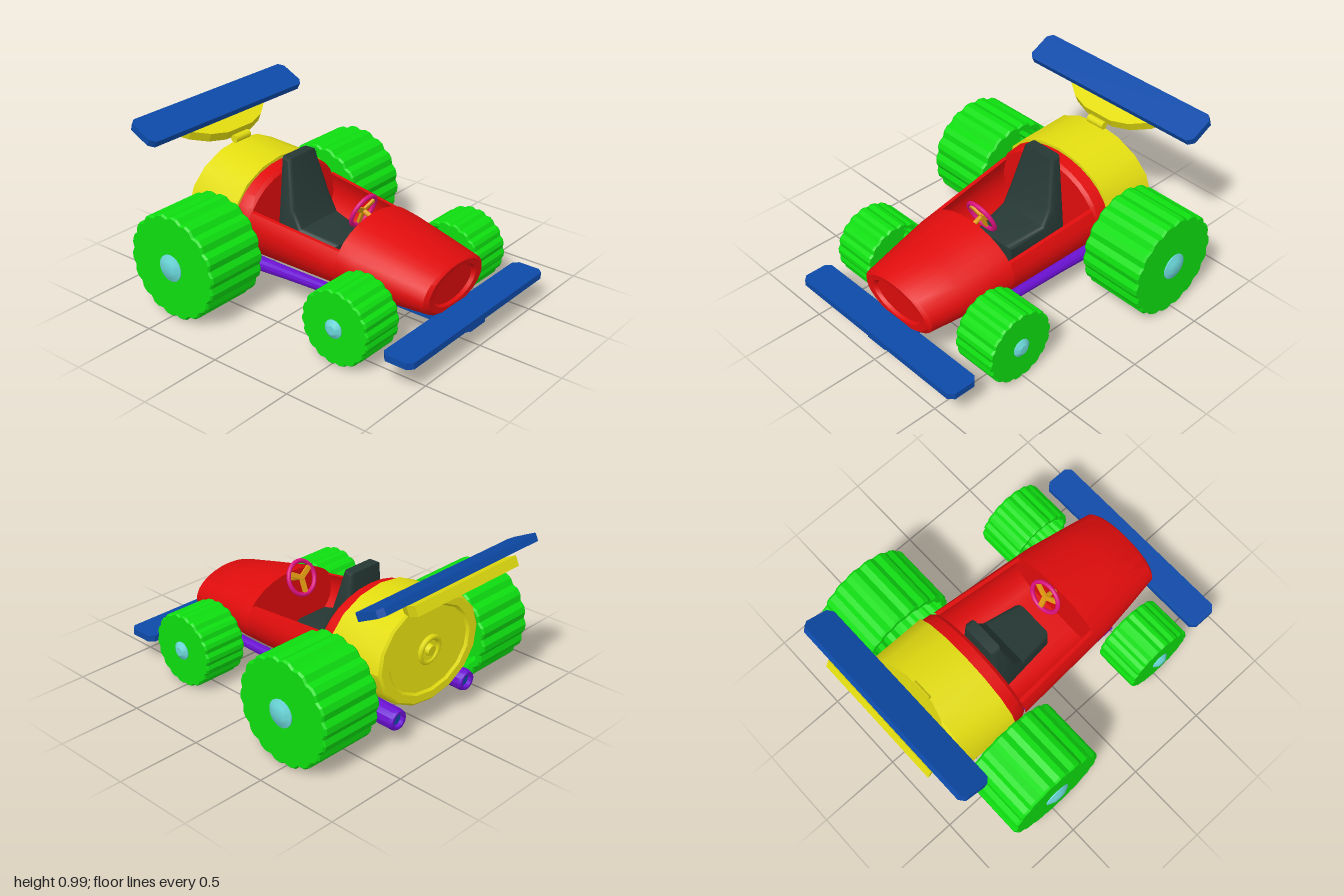
import * as THREE from 'three';
import { toCreasedNormals } from 'three/addons/utils/BufferGeometryUtils.js';

const mat = (name, color, side = THREE.FrontSide) => {
  const m = new THREE.MeshStandardMaterial({ color, side });
  m.name = name;
  return m;
};

// Closed cross-sections, counter-clockwise seen from +z, ordered from +z to -z
function loft(rings, crease = 0.6) {
  const n = rings[0].length, idx = [];
  for (let i = 0; i < rings.length - 1; i++) {
    for (let j = 0; j < n; j++) {
      const a = i * n + j, b = i * n + (j + 1) % n, c = a + n, d = b + n;
      idx.push(a, c, b, b, c, d);
    }
  }
  const g = new THREE.BufferGeometry();
  g.setAttribute('position', new THREE.Float32BufferAttribute(rings.flat(2), 3));
  g.setIndex(idx);
  return toCreasedNormals(g, crease);
}

// Elliptical section given by half width, top and bottom; lean tilts it in z
function oval(z, rx, top, bot, s = 1, lean = 0, n = 28) {
  const c = (top + bot) / 2, ry = (top - bot) / 2;
  return Array.from({ length: n }, (_, j) => {
    const t = (j / n) * Math.PI * 2 + Math.PI / 2;
    const y = c + ry * s * Math.sin(t);
    return [rx * s * Math.cos(t), y, z - (top - y) * lean];
  });
}

// U-shaped cockpit section with outer skin and inner wall up to the rim
function tub(z, rx, top, bot, rim, n = 18) {
  const c = (top + bot) / 2, ry = (top - bot) / 2, a0 = Math.asin((rim - c) / ry);
  const outer = [], inner = [];
  for (let j = 0; j <= n; j++) {
    const t = Math.PI - a0 + (j / n) * (Math.PI + 2 * a0);
    const x = rx * Math.cos(t), y = c + ry * Math.sin(t);
    outer.push([x, y, z]);
    inner.unshift([x * 0.93, Math.max(y, 0.21), z]);
  }
  return [...outer, ...inner];
}

// Horizontal plate from an outline in x and z, centred on its thickness
function plate(points, t, hole) {
  const toV = (p) => new THREE.Vector2(p[0], p[1]);
  const shape = new THREE.Shape(points.map(toV));
  if (hole) shape.holes.push(new THREE.Path(hole.map(toV)));
  const g = new THREE.ExtrudeGeometry(shape, { depth: t, bevelEnabled: false });
  return g.translate(0, 0, -t / 2).rotateX(Math.PI / 2);
}

const chamfered = (w, d, c) => [
  [-w, -d + c], [-w + c, -d], [w - c, -d], [w, -d + c],
  [w, d - c], [w - c, d], [-w + c, d], [-w, d - c]];

// Toothed tyre section
function tread(z, r, teeth = 18) {
  return Array.from({ length: teeth * 3 }, (_, j) => {
    const t = (j / (teeth * 3)) * Math.PI * 2, k = j % 3 === 2 ? r * 0.95 : r;
    return [k * Math.cos(t), k * Math.sin(t), z];
  });
}

export function createModel() {
  const root = new THREE.Group();
  root.name = 'racingCar';
  const red = mat('red', 0xe00c0c), green = mat('green', 0x0ede10), blue = mat('blue', 0x0d4aa8);
  const yellow = mat('yellow', 0xe2dc10), purple = mat('purple', 0x6a10d0, THREE.DoubleSide);
  const cyan = mat('cyan', 0x6ad6d8), dark = mat('darkSlate', 0x263834);
  const pink = mat('pink', 0xdc1080), orange = mat('orange', 0xe09a10);

  const add = (name, geo, m, pos = [0, 0, 0], parent = root) => {
    const mesh = new THREE.Mesh(geo, m);
    mesh.name = name;
    mesh.position.set(...pos);
    parent.add(mesh);
    return mesh;
  };

  // Nose with recessed front
  const N = (z, s) => oval(z, 0.275, 0.46, 0.165, s, 0.06);
  add('nose', loft([
    N(0.815, 0), N(0.815, 0.66), N(0.835, 0.72), N(0.838, 0.9), N(0.82, 1),
    oval(0.6, 0.31, 0.512, 0.155), oval(0.38, 0.343, 0.562, 0.15),
    oval(0.28, 0.35, 0.58, 0.15), oval(0.28, 0.35, 0.58, 0.15, 0)]), red);

  // Cockpit tub and hoop behind the driver
  add('cockpit', loft([tub(0.28, 0.35, 0.58, 0.15, 0.46), tub(-0.31, 0.39, 0.70, 0.15, 0.53)]), red);
  add('rearHoop', loft([
    oval(-0.31, 0.39, 0.70, 0.15, 0), oval(-0.31, 0.39, 0.70, 0.15, 0.97),
    oval(-0.33, 0.392, 0.71, 0.15), oval(-0.41, 0.40, 0.715, 0.15),
    oval(-0.41, 0.40, 0.715, 0.15, 0)]), red);

  // Engine cover with stepped back
  const E = (z, s) => oval(z, 0.405, 0.755, 0.17, s, 0.09, 16);
  add('engineCover', loft([
    oval(-0.4, 0.41, 0.735, 0.16, 0, 0, 16), oval(-0.4, 0.41, 0.735, 0.16, 1, 0, 16),
    E(-0.725, 1), E(-0.735, 0.96), E(-0.735, 0.82), E(-0.722, 0.78), E(-0.722, 0)], 0.5), yellow);
  const cap = new THREE.Group();
  cap.name = 'rearCap';
  cap.position.set(0, 0.46, -0.752);
  cap.rotation.x = -0.09;
  root.add(cap);
  add('rearCapRing', new THREE.TorusGeometry(0.075, 0.016, 8, 20), yellow, [0, 0, 0], cap);
  add('rearCapKnob', new THREE.CylinderGeometry(0.03, 0.035, 0.04, 16).rotateX(-Math.PI / 2), yellow, [0, 0, 0], cap);

  // Wheels: closed outside, hollow inside
  const wheel = (name, r, x0, x1, y, z, hubR) => {
    const w = x1 - x0;
    for (const side of [1, -1]) {
      const g = new THREE.Group();
      g.name = (side > 0 ? 'left' : 'right') + name;
      g.position.set(side * x0, y, z);
      g.rotation.y = side * Math.PI / 2;
      root.add(g);
      const tyre = loft([
        tread(w, 0), tread(w, r * 0.97), tread(w - 0.012, r), tread(0.012, r), tread(0, r * 0.97),
        tread(0, r * 0.88), tread(w * 0.6, r * 0.85), tread(w * 0.6, 0)], 0.25);
      add('tyre', tyre, green, [0, 0, 0], g);
      const prof = [[hubR, -0.01], [hubR, 0.006], [hubR * 0.6, 0.02], [hubR * 0.5, 0.024], [0, 0.026]];
      const hub = new THREE.LatheGeometry(prof.map((p) => new THREE.Vector2(...p)), 18);
      add('hub', toCreasedNormals(hub.rotateX(Math.PI / 2), 0.5), cyan, [0, 0, w], g);
    }
  };
  wheel('RearWheel', 0.313, 0.43, 0.83, 0.318, -0.48, 0.08);
  wheel('FrontWheel', 0.22, 0.368, 0.645, 0.225, 0.515, 0.054);

  // Front wing and keel plank
  add('frontWing', plate(chamfered(0.635, 0.095, 0.03), 0.038), blue, [0, 0.175, 0.905]);
  add('keel', plate(chamfered(0.1, 0.625, 0.03), 0.042), blue, [0, 0.135, 0.355]);

  // Rear wing on its dished bracket
  add('rearWing', plate(chamfered(0.635, 0.1, 0.03), 0.042), blue, [0, 0.937, -0.875]).rotation.x = 0.46;
  const half = [[0.405, -0.145], [0.39, -0.07], [0.31, 0.04], [0.21, 0.11], [0.1, 0.145]];
  const outline = [...half, ...half.map(([x, v]) => [-x, v]).reverse()];
  const bracket = new THREE.Group();
  bracket.name = 'wingBracket';
  bracket.position.set(0, 0.86, -0.857);
  bracket.rotation.x = 0.42;
  root.add(bracket);
  const inset = outline.map(([x, v]) => [x * 0.88, v * 0.8]);
  add('bracketRim', plate(outline, 0.058, inset), yellow, [0, 0, 0], bracket);
  add('bracketPlate', plate(inset, 0.02), yellow, [0, 0.018, 0], bracket);
  add('bracketHinge', new THREE.CylinderGeometry(0.024, 0.024, 0.12, 12).rotateZ(Math.PI / 2), yellow, [0, 0.772, -0.712]);

  // Exhaust pipes, wider towards the open rear end
  const pipe = [[0, 0], [0.028, 0], [0.03, 0.2], [0.036, 0.6], [0.045, 0.85], [0.062, 0.92],
    [0.062, 1.24], [0.055, 1.26], [0.04, 1.26], [0.038, 1.2]].map((p) => new THREE.Vector2(...p));
  for (const side of [1, -1]) {
    const g = new THREE.Group();
    g.name = side > 0 ? 'leftExhaust' : 'rightExhaust';
    g.position.set(side * 0.285, 0.195, 0.46);
    g.rotation.x = -Math.PI / 2 - 0.022;
    root.add(g);
    add('pipe', toCreasedNormals(new THREE.LatheGeometry(pipe, 12), 0.5), purple, [0, 0, 0], g);
    add('pipeMouth', new THREE.CircleGeometry(0.041, 12).rotateX(-Math.PI / 2), blue, [0, 1.235, 0], g);
  }

  // Seat: side profile, narrowed towards the headrest
  const sideProfile = [[-0.28, 0.77], [-0.25, 0.77], [-0.19, 0.5], [-0.13, 0.39], [0.1, 0.35], [0.1, 0.24], [-0.28, 0.24]];
  const seat = new THREE.ExtrudeGeometry(new THREE.Shape(sideProfile.map((p) => new THREE.Vector2(...p))),
    { depth: 0.28, bevelSize: 0.02, bevelThickness: 0.03, bevelSegments: 3 });
  seat.translate(0, 0, -0.14).rotateY(-Math.PI / 2);
  const p = seat.attributes.position;
  for (let i = 0; i < p.count; i++) {
    const up = Math.max(0, (p.getY(i) - 0.45) / 0.34), fwd = Math.max(0, p.getZ(i) / 0.12);
    p.setX(i, p.getX(i) * (1 - 0.35 * up * up) * (1 - 0.3 * fwd * fwd));
  }
  add('seat', toCreasedNormals(seat, 0.7), dark);

  // Steering wheel with three spokes and a column
  const steering = new THREE.Group();
  steering.name = 'steeringWheel';
  steering.position.set(0, 0.565, 0.2);
  steering.rotation.x = 0.37;
  root.add(steering);
  add('steeringRim', new THREE.TorusGeometry(0.098, 0.013, 8, 24), pink, [0, 0, 0], steering);
  for (let i = 0; i < 3; i++) {
    const spoke = add('spoke', new THREE.BoxGeometry(0.03, 0.095, 0.014).translate(0, -0.047, 0), orange, [0, 0, 0], steering);
    spoke.rotation.z = (i * Math.PI * 2) / 3;
  }
  add('column', new THREE.CylinderGeometry(0.014, 0.014, 0.14, 10).rotateX(Math.PI / 2), orange, [0, 0, 0.06], steering);

  return root;
}
